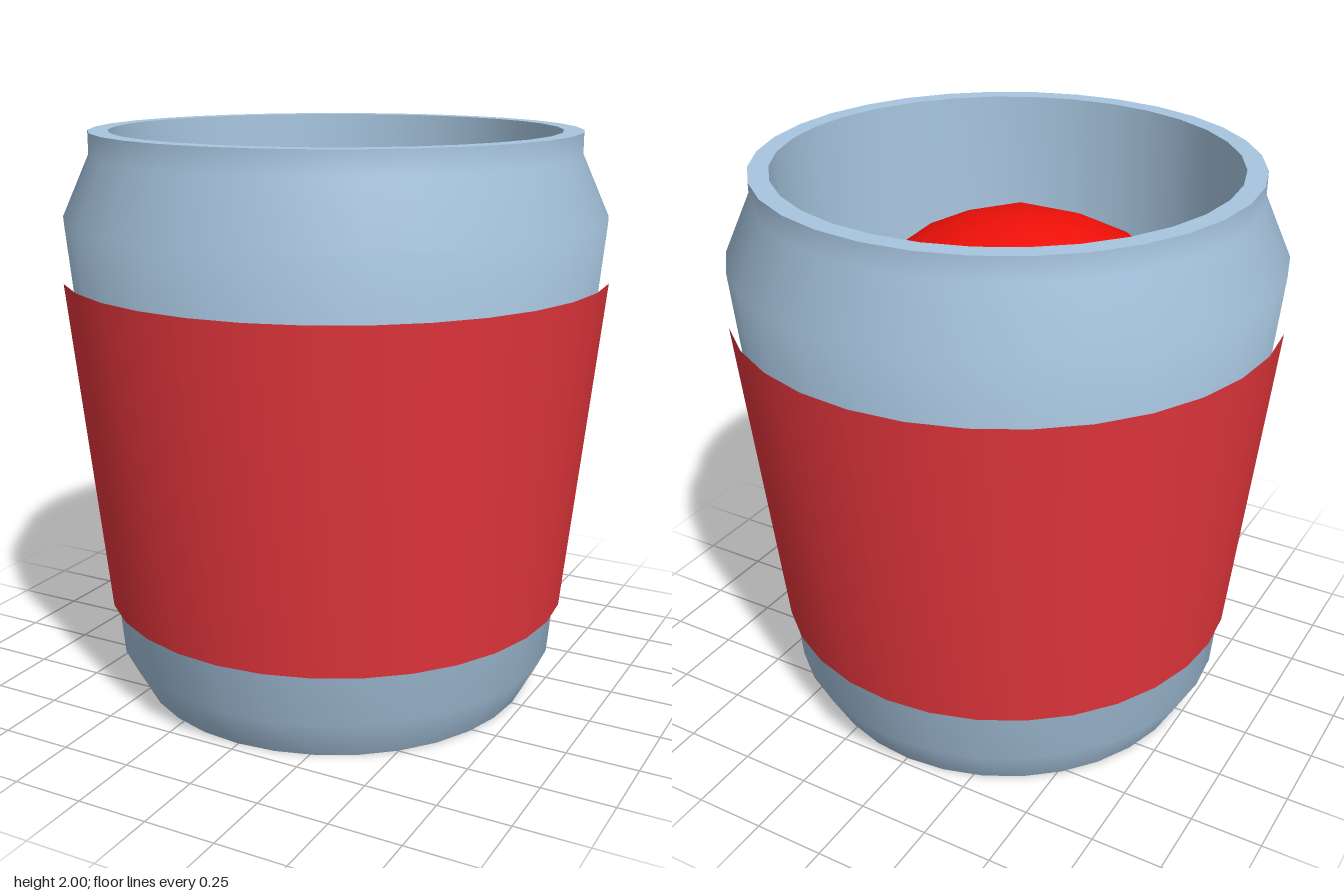
import * as THREE from 'three';
import { toCreasedNormals } from 'three/addons/utils/BufferGeometryUtils.js';
import { ConvexGeometry } from 'three/addons/geometries/ConvexGeometry.js';

const SIDES = 32;

// Turned part from [radius, height] pairs, smooth around, sharp at strong corners
function turned(name, profile, material) {
  const points = profile.map(([r, y]) => new THREE.Vector2(r, y));
  const lathe = new THREE.LatheGeometry(points, SIDES);
  const mesh = new THREE.Mesh(toCreasedNormals(lathe, 0.7), material);
  mesh.name = name;
  return mesh;
}

export function createModel() {
  const model = new THREE.Group();
  model.name = 'jar';

  const glass = new THREE.MeshStandardMaterial({ color: 0xa8c6e0 });
  const labelRed = new THREE.MeshStandardMaterial({ color: 0xe4363c });
  const fillingRed = new THREE.MeshStandardMaterial({ color: 0xf01008 });
  const lumpRed = new THREE.MeshStandardMaterial({ color: 0xf01008, flatShading: true });

  // Hollow jar: base, chamfer, flared wall, shoulder, neck, rim, then the straight inside
  const body = turned('jarBody', [
    [0, 0], [0.715, 0], [0.795, 0.15], [0.94, 1.71], [0.845, 1.92], [0.845, 2],
    [0.777, 2], [0.777, 1], [0.74, 0.18], [0.66, 0.08], [0, 0.08],
  ], glass);
  body.position.set(-0.005, 0, -0.008);
  model.add(body);

  // Thin label sleeve round the wall, open at both ends
  model.add(turned('label', [[0.83, 0.34], [0.95, 1.51]], labelRed));

  // Two overlapping mounds that fill the jar
  for (const [name, position, radii] of [
    ['frontMound', [-0.02, 1.09, 0.09], [0.73, 0.7, 0.67]],
    ['backMound', [0.03, 1.025, -0.07], [0.72, 0.68, 0.7]],
  ]) {
    const mound = new THREE.Mesh(new THREE.IcosahedronGeometry(1, 3).scale(...radii), fillingRed);
    mound.name = name;
    mound.position.set(...position);
    model.add(mound);
  }

  // Faceted chunk sticking out of the filling
  const chunk = [
    [-0.49, 1.81, -0.21], [-0.41, 1.76, -0.28], [-0.43, 1.66, -0.5], [-0.54, 1.7, -0.48],
    [-0.6, 1.74, -0.06], [-0.69, 1.64, -0.12], [-0.45, 1.66, 0],
    [-0.47, 1.52, -0.6], [-0.39, 1.55, -0.56], [-0.3, 1.57, -0.41], [-0.3, 1.57, -0.27],
    [-0.35, 1.57, -0.13], [-0.44, 1.58, 0.03], [-0.65, 1.54, 0.01], [-0.73, 1.5, -0.08],
    [-0.5, 1.15, -0.25],
  ].map((p) => new THREE.Vector3(...p));
  const lump = new THREE.Mesh(new ConvexGeometry(chunk), lumpRed);
  lump.name = 'chunk';
  model.add(lump);

  return model;
}
